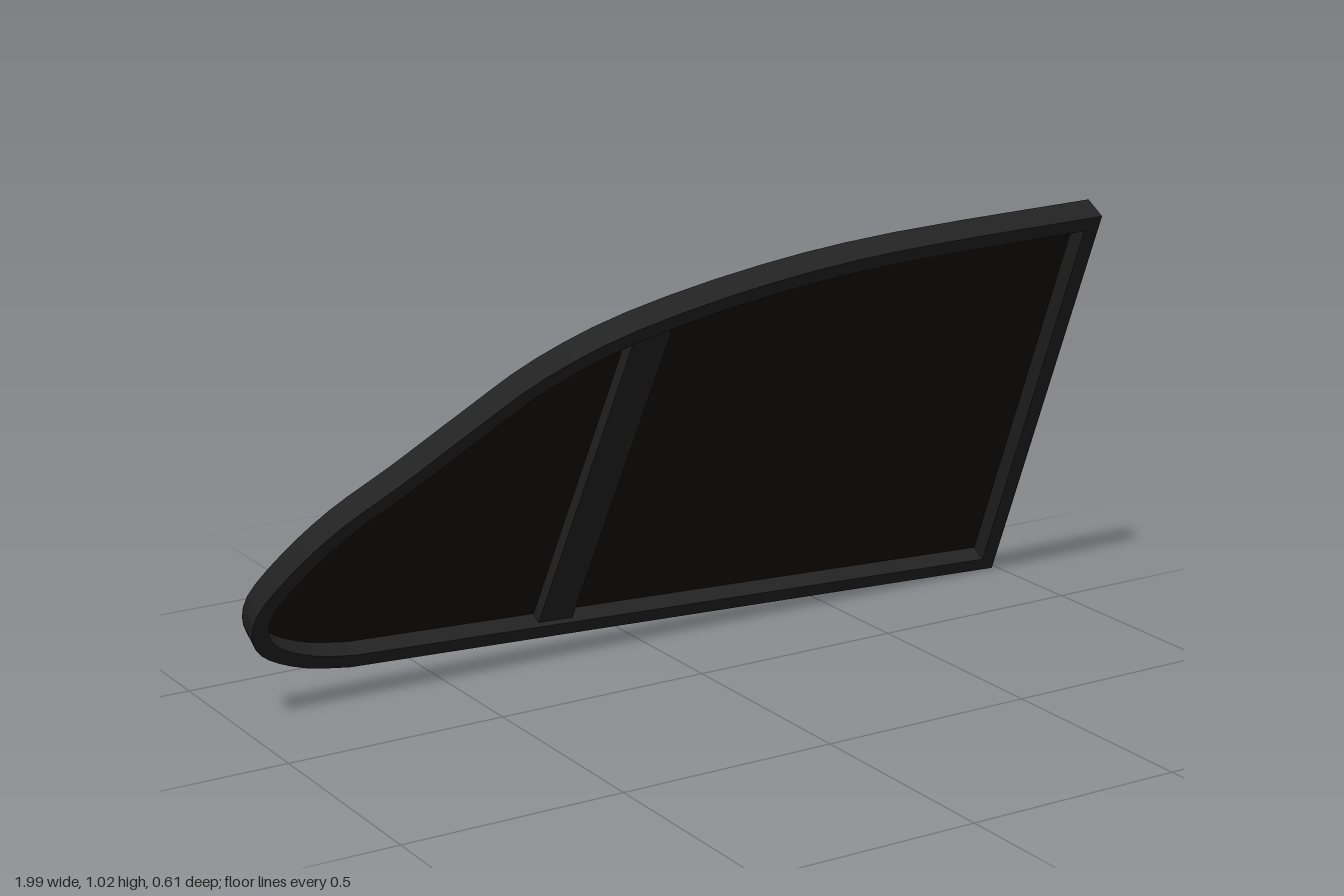
import * as THREE from 'three';

const V = (x, y) => new THREE.Vector2(x, y);

// Moves a counter-clockwise outline inwards by d, with mitred corners
function inset(pts, d) {
  const n = pts.length;
  const normal = (a, b) => V(a.y - b.y, b.x - a.x).normalize();
  return pts.map((p, i) => {
    const n1 = normal(pts[(i + n - 1) % n], p);
    const n2 = normal(p, pts[(i + 1) % n]);
    const m = n1.clone().add(n2).normalize();
    return p.clone().addScaledVector(m, d / m.dot(n1));
  });
}

// Extrudes a shape from z0 to z1
function slab(name, shape, z0, z1, material) {
  const geo = new THREE.ExtrudeGeometry(shape, { depth: z1 - z0, bevelEnabled: false });
  geo.translate(0, 0, z0);
  const mesh = new THREE.Mesh(geo, material);
  mesh.name = name;
  return mesh;
}

export function createModel() {
  const frameMat = new THREE.MeshStandardMaterial({ color: 0x222222 });
  const glassMat = new THREE.MeshStandardMaterial({ color: 0x160b0b });
  const half = 0.0285;

  // Pane outline: curved upper edge and rounded tip, straight lower and end edges
  const curve = new THREE.SplineCurve([
    V(0.836, 0.567), V(0.33, 0.544), V(0.008, 0.499), V(-0.286, 0.416),
    V(-0.473, 0.317), V(-0.606, 0.198), V(-0.74, 0.068), V(-0.857, -0.037),
    V(-0.943, -0.149), V(-0.998, -0.26), V(-0.99, -0.35), V(-0.943, -0.41),
    V(-0.847, -0.459), V(-0.74, -0.483),
  ]);
  const outline = [V(0.988, -0.567), ...curve.getPoints(39)];

  const window = new THREE.Group();
  window.name = 'windowPanel';

  // Surrounding frame
  const frameShape = new THREE.Shape(outline);
  frameShape.holes.push(new THREE.Path(inset(outline, 0.037).reverse()));
  window.add(slab('frame', frameShape, -half, half, frameMat));

  // Glass, set close to the back of the frame
  window.add(slab('glass', new THREE.Shape(inset(outline, 0.015)), -half + 0.004, -half + 0.016, glassMat));

  // Divider bar between the two panes
  const bar = new THREE.Shape([V(-0.278, -0.485), V(-0.192, -0.488), V(-0.192, 0.423), V(-0.278, 0.395)]);
  window.add(slab('dividerBar', bar, -half + 0.001, 0.015, frameMat));

  // Lean the top forward, with a slight yaw
  window.rotation.set(THREE.MathUtils.degToRad(29.6), -0.015, 0);
  window.position.set(0, 0.519, -0.012);

  const model = new THREE.Group();
  model.name = 'sideWindow';
  model.add(window);
  return model;
}
